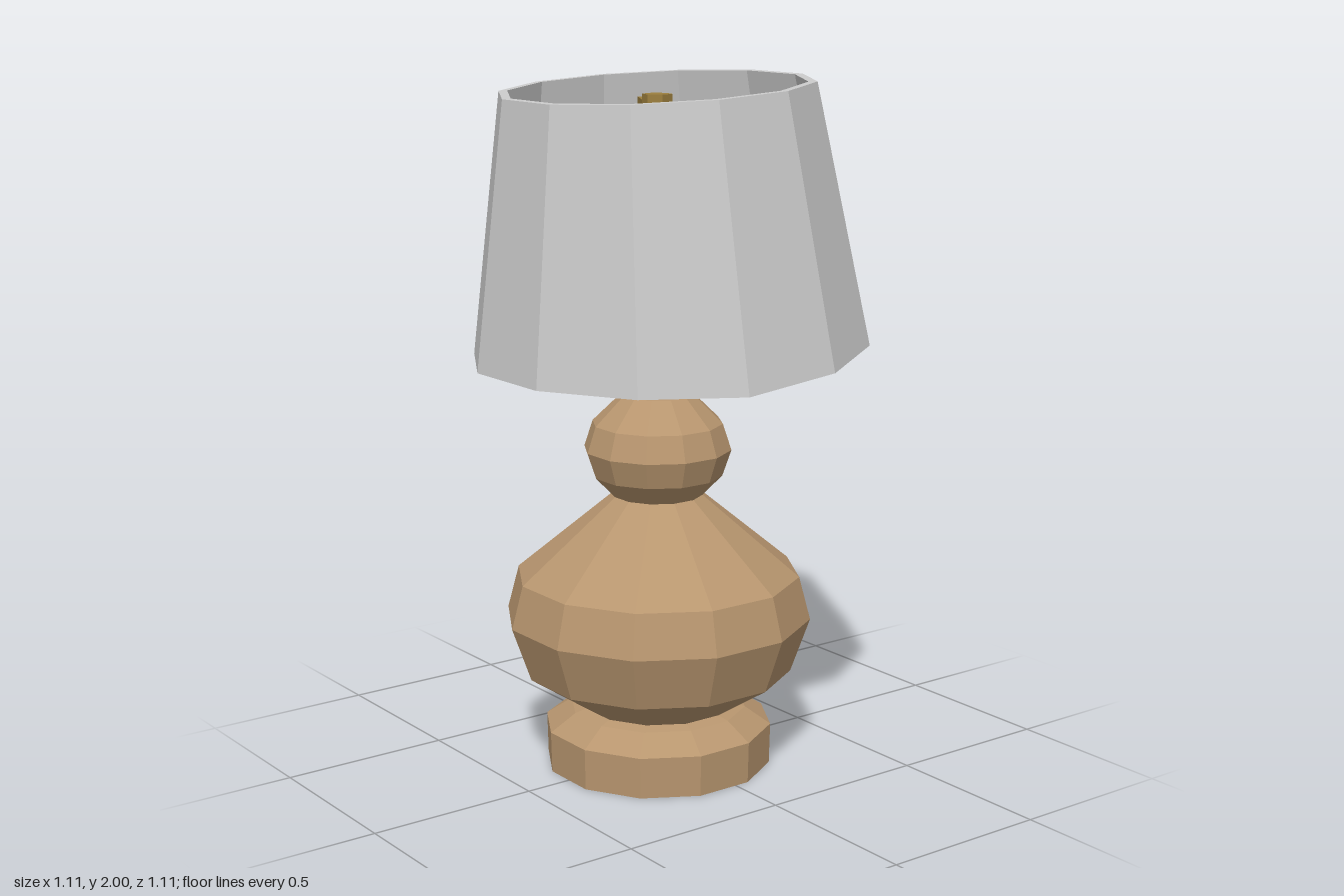
import * as THREE from 'three';

const wood = new THREE.MeshStandardMaterial({ color: 0xb8966f, flatShading: true });
const brass = new THREE.MeshStandardMaterial({ color: 0x9c7f3e, flatShading: true });
const fabric = new THREE.MeshStandardMaterial({ color: 0xcccccc, flatShading: true });

const TURN = Math.PI / 12; // facets face the axes
const APOTHEM = Math.cos(TURN);

// Faceted turned part; profile is [half width, y] from bottom to top
function turned(name, profile, sides, material) {
  const points = profile.map(([w, y]) => new THREE.Vector2(w / APOTHEM, y));
  const mesh = new THREE.Mesh(new THREE.LatheGeometry(points, sides, TURN, Math.PI * 2), material);
  mesh.name = name;
  return mesh;
}

// Crooked shade: a closed tapered wall whose top is shifted and tilted
// and whose bottom edge lifts towards the back
function makeShade() {
  const shade = turned('lampshade',
    [[0.553, 0], [0.433, 1], [0.409, 1], [0.529, 0], [0.553, 0]], 12, fabric);
  const p = shade.geometry.attributes.position;
  for (let i = 0; i < p.count; i++) {
    const z = p.getZ(i);
    if (p.getY(i) > 0.5) {
      p.setY(i, 1.976 - 0.055 * z);
      p.setZ(i, z + 0.045);
    } else {
      const lift = Math.min(Math.max(0, 0.148 - z) * 0.098, 0.0545 + Math.max(0, -0.4 - z) * 0.06);
      p.setY(i, 1.2 + lift);
    }
  }
  shade.geometry.computeVertexNormals();
  return shade;
}

export function createModel() {
  const lamp = new THREE.Group();
  lamp.name = 'tableLamp';

  // Stand sits slightly forward of the shade's lower rim
  const stand = new THREE.Group();
  stand.name = 'stand';
  stand.position.z = 0.042;
  stand.add(
    turned('foot', [[0, 0], [0.32, 0], [0.323, 0.12], [0.25, 0.17], [0.215, 0.18], [0, 0.18]], 12, wood),
    turned('belly', [[0, 0.17], [0.21, 0.175], [0.378, 0.288], [0.432, 0.447],
      [0.4, 0.573], [0.125, 0.81], [0, 0.81]], 12, wood),
    turned('upperBulb', [[0, 0.805], [0.125, 0.807], [0.182, 0.868], [0.207, 0.944],
      [0.183, 1.02], [0.1, 1.104], [0, 1.104]], 12, wood),
    turned('socket', [[0, 1.1], [0.08, 1.1], [0.08, 1.165], [0.066, 1.19], [0, 1.19]], 6, brass),
    turned('pole', [[0, 1.18], [0.028, 1.18], [0.028, 1.9], [0, 1.9]], 6, brass),
    turned('hub', [[0, 1.875], [0.041, 1.875], [0.041, 1.955], [0, 1.955]], 6, brass),
  );

  // Three arms from the hub to the shade
  for (let i = 0; i < 3; i++) {
    const arm = new THREE.Group();
    arm.name = 'shadeArm';
    const bar = new THREE.Mesh(new THREE.BoxGeometry(0.025, 0.025, 0.41), brass);
    bar.name = 'armBar';
    bar.position.set(0, 1.905, 0.205);
    arm.add(bar);
    arm.rotation.y = i * Math.PI * 2 / 3;
    stand.add(arm);
  }

  lamp.add(stand, makeShade());
  return lamp;
}
